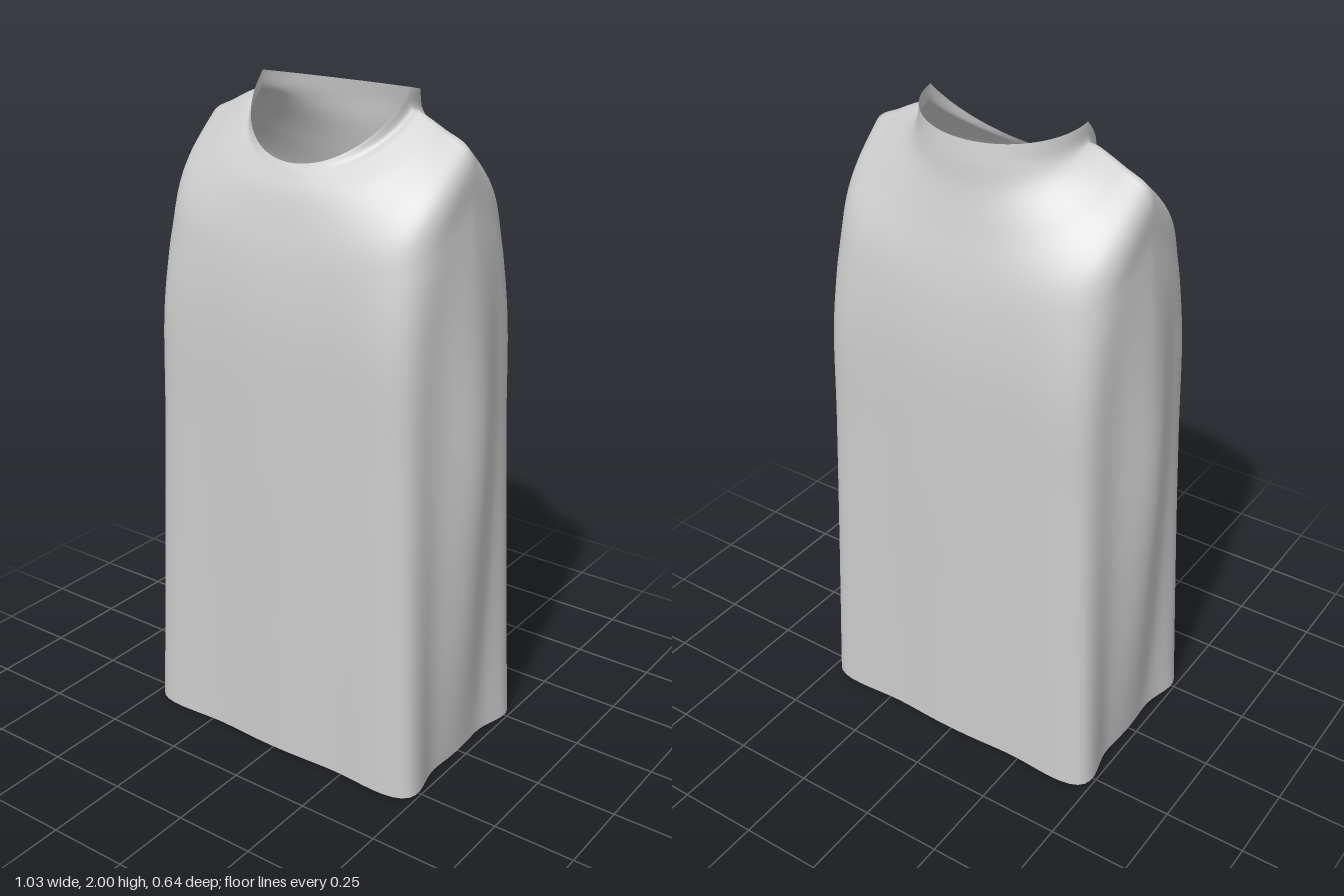
import * as THREE from 'three';

// Level of the garment: half width, half depth, squareness, bulge of the side,
// bow of the front, flare of the corners, and height at front, side and back
const level = (width, depth, square, bulge, bow, flare, front, side, back) =>
  ({ width, depth, square, bulge, bow, flare, front, side, back });

const LEVELS = [
  level(0.25, 0.197, 2, 0, 0, 0, 1.803, 2, 1.962), // neck rim
  level(0.256, 0.207, 2, 0, 0, 0, 1.79, 1.948, 1.91), // foot of the collar
  level(0.28, 0.216, 2.1, 0, 0, 0, 1.775, 1.943, 1.84),
  level(0.36, 0.24, 2.5, 0, 0, 0, 1.73, 1.905, 1.74), // middle of the shoulder
  level(0.44, 0.273, 3.5, 0, 0, 0, 1.62, 1.858, 1.62), // edge of the shoulder
  level(0.45, 0.285, 4.5, 0.006, 0.009, 0.01, 1.52, 1.7, 1.52),
  level(0.448, 0.295, 6, 0.042, 0.017, 0.03, 1.35, 1.35, 1.35), // body
  level(0.448, 0.295, 6, 0.067, 0.023, 0.06, 1, 1, 1),
  level(0.452, 0.295, 6, 0.046, 0.023, 0.1, 0.5, 0.5, 0.5),
  level(0.458, 0.295, 6, 0.012, 0.023, 0.14, 0, 0, 0), // hem
];

// Point of a level at an angle that starts at the front and turns towards +x:
// a rounded rectangle with fuller sides and corners
function pointOn(l, angle) {
  const s = Math.sin(angle);
  const c = Math.cos(angle);
  const r = (Math.abs(s) ** l.square + Math.abs(c) ** l.square) ** (-1 / l.square);
  const across = r * s;
  const along = r * c;
  const corner = 1 + l.flare * Math.sin(2 * angle) ** 10;
  const x = l.width * across * corner + Math.sign(s) * l.bulge * Math.cos(along * Math.PI / 2) ** 4;
  const z = l.depth * along * corner + Math.sign(c) * l.bow * Math.cos(across * Math.PI / 2) ** 2;
  const y = THREE.MathUtils.lerp(l.side, c > 0 ? l.front : l.back, Math.abs(along));
  return new THREE.Vector3(x, y, z);
}

// Smooth skin made of curves that run down through all levels
function loft(levels, around, down) {
  const positions = [];
  const index = [];
  const at = (i, j) => (j % around) * (down + 1) + i;
  for (let j = 0; j < around; j++) {
    const angle = (j / around) * Math.PI * 2;
    const column = new THREE.CatmullRomCurve3(levels.map((l) => pointOn(l, angle)));
    for (const p of column.getPoints(down)) positions.push(p.x, p.y, p.z);
    for (let i = 0; i < down; i++) {
      index.push(at(i, j), at(i + 1, j), at(i + 1, j + 1));
      index.push(at(i, j), at(i + 1, j + 1), at(i, j + 1));
    }
  }
  const geometry = new THREE.BufferGeometry();
  geometry.setAttribute('position', new THREE.Float32BufferAttribute(positions, 3));
  geometry.setIndex(index);
  geometry.computeVertexNormals();
  return geometry;
}

export function createModel() {
  const cloth = new THREE.MeshStandardMaterial({ color: 0xcccccc, side: THREE.DoubleSide });
  cloth.name = 'light grey cloth';

  const model = new THREE.Group();
  model.name = 'sleevelessTunic';

  // One open shell of cloth with neck and hem openings
  const garment = new THREE.Mesh(loft(LEVELS, 144, 72), cloth);
  garment.name = 'tunicCloth';
  model.add(garment);
  return model;
}
